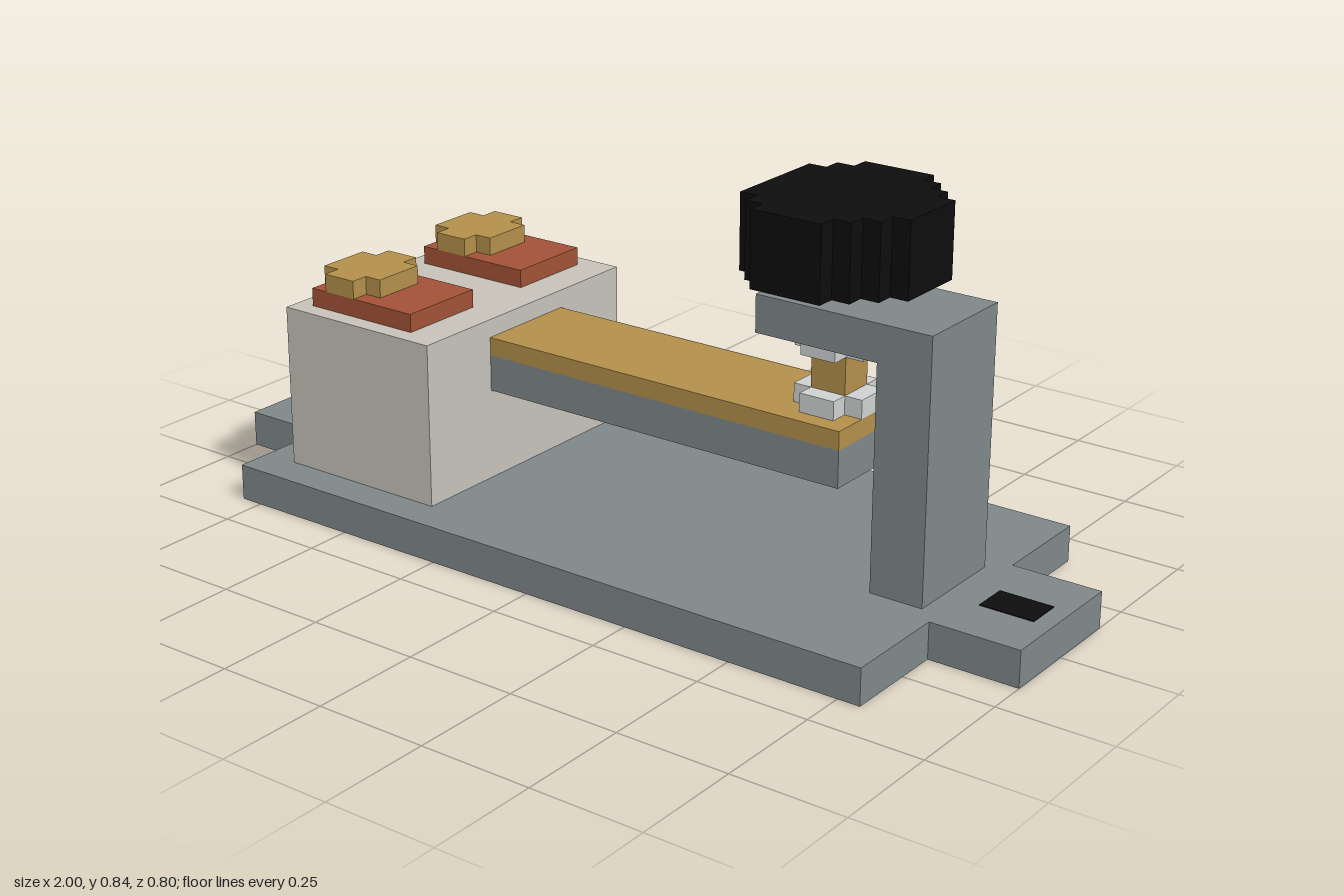
import * as THREE from 'three';

const material = (name, color) => {
  const m = new THREE.MeshStandardMaterial({ color });
  m.name = name;
  return m;
};

export function createModel() {
  const steel = material('steel grey', 0x7f8789);
  const brass = material('brass', 0xb38f4a);
  const copper = material('copper red', 0xa15237);
  const ceramic = material('ceramic', 0xc6c2ba);
  const silver = material('silver', 0xcfd0d1);
  const black = material('black', 0x0d0d0d);
  const model = new THREE.Group();
  model.name = 'thermostatSwitch';

  const add = (parent, name, geometry, mat) => {
    const mesh = new THREE.Mesh(geometry, mat);
    mesh.name = name;
    parent.add(mesh);
    return mesh;
  };
  // Box given by its limits on each axis
  const box = (parent, name, mat, [x0, x1], [y0, y1], [z0, z1]) =>
    add(parent, name, new THREE.BoxGeometry(x1 - x0, y1 - y0, z1 - z0)
      .translate((x0 + x1) / 2, (y0 + y1) / 2, (z0 + z1) / 2), mat);

  const shapeOf = (points) => new THREE.Shape(points.map(([x, y]) => new THREE.Vector2(x, y)));

  // Upright prism from an outline stepped in z: rows are [zEdge, xLeft, xRight],
  // listed from the centre outward and mirrored front to back
  const steppedPrism = (parent, name, mat, rows, y0, y1) => {
    const right = [], left = [];
    let inner = 0;
    for (const [z, l, r] of rows) {
      right.push([r, inner], [r, z]);
      left.push([l, inner], [l, z]);
      inner = z;
    }
    const flip = (pts) => pts.slice(1).reverse().map(([x, z]) => [x, -z]);
    const outline = [...flip(right), ...right.slice(1), ...left.slice(1).reverse(),
      ...flip(left).reverse()];
    const geometry = new THREE.ExtrudeGeometry(shapeOf(outline), { depth: y1 - y0, bevelEnabled: false })
      .rotateX(-Math.PI / 2).translate(0, y0, 0);
    return add(parent, name, geometry, mat);
  };

  // Base plate with a mounting tab at each end
  steppedPrism(model, 'basePlate', steel, [[0.16, -1, 1], [0.4, -0.8, 0.8]], 0, 0.08);
  for (const s of [-1, 1]) {
    box(model, s > 0 ? 'leftMountingSlot' : 'rightMountingSlot', black,
      [s * 0.9 - 0.06, s * 0.9 + 0.06], [0.079, 0.082], [-0.04, 0.04]);
  }

  // Insulating block with two screw terminals
  box(model, 'insulatorBlock', ceramic, [-0.72, -0.32], [0.08, 0.44], [-0.32, 0.32]);
  for (const s of [-1, 1]) {
    const terminal = new THREE.Group();
    terminal.name = s > 0 ? 'frontTerminal' : 'backTerminal';
    terminal.position.z = s * 0.18;
    box(terminal, 'terminalPlate', copper, [-0.68, -0.4], [0.44, 0.48], [-0.1, 0.1]);
    steppedPrism(terminal, 'terminalScrew', brass,
      [[0.06, -0.68, -0.52], [0.1, -0.64, -0.56]], 0.48, 0.52);
    model.add(terminal);
  }

  // Two-layer bending strip
  box(model, 'stripLowerLayer', steel, [-0.32, 0.56], [0.28, 0.36], [-0.12, 0.12]);
  box(model, 'stripUpperLayer', brass, [-0.32, 0.56], [0.36, 0.4], [-0.12, 0.12]);

  // Bracket: post with an overhanging arm
  const bracket = shapeOf([[0.64, 0.08], [0.76, 0.08], [0.76, 0.64], [0.36, 0.64], [0.36, 0.56], [0.64, 0.56]]);
  add(model, 'bracket', new THREE.ExtrudeGeometry(bracket, { depth: 0.24, bevelEnabled: false })
    .translate(0, 0, -0.12), steel);

  // Adjusting screw, contacts and knob
  box(model, 'adjustingScrew', brass, [0.44, 0.52], [0.44, 0.68], [-0.04, 0.04]);
  const contactRows = [[0.04, 0.4, 0.56], [0.08, 0.44, 0.52]];
  steppedPrism(model, 'lowerContact', silver, contactRows, 0.4, 0.44);
  steppedPrism(model, 'upperContact', silver, contactRows, 0.52, 0.56);
  steppedPrism(model, 'knob', black,
    [[0.08, 0.32, 0.68], [0.12, 0.32, 0.64], [0.16, 0.36, 0.6], [0.2, 0.4, 0.56]], 0.68, 0.84);

  return model;
}
